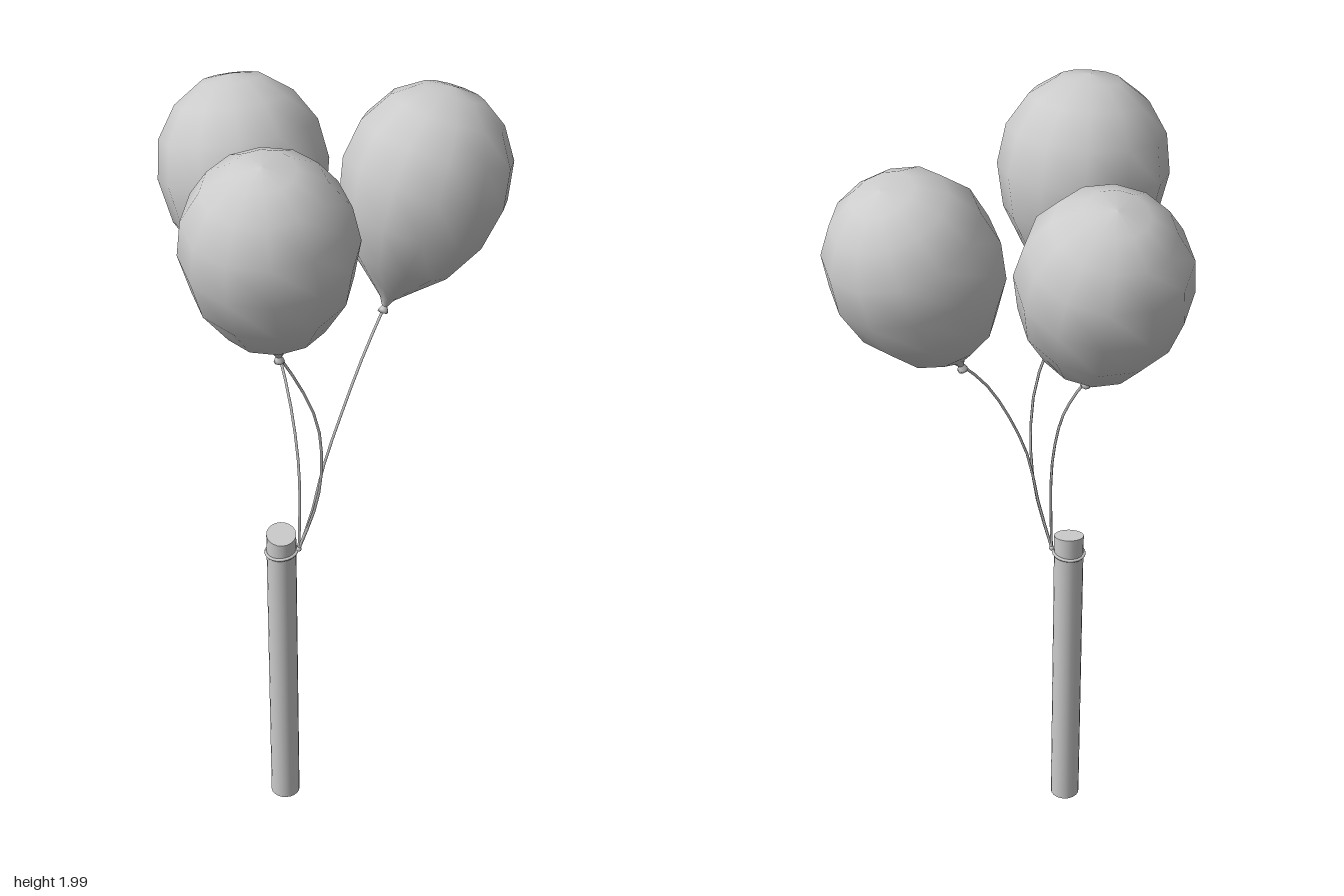
import * as THREE from 'three';

const V = (x, y, z) => new THREE.Vector3(x, y, z);
const grey = new THREE.MeshStandardMaterial({ color: 0xcccccc });
const greyDouble = new THREE.MeshStandardMaterial({ color: 0xcccccc, side: THREE.DoubleSide });

function addMesh(parent, name, geometry, material = grey) {
  const mesh = new THREE.Mesh(geometry, material);
  mesh.name = name;
  parent.add(mesh);
  return mesh;
}

// Radius and height along the balloon's axis, measured from the neck
const skinProfile = [
  [0.007, 0], [0.018, 0.02], [0.055, 0.055], [0.125, 0.12], [0.182, 0.22],
  [0.203, 0.325], [0.188, 0.42], [0.14, 0.495], [0.075, 0.54], [0, 0.552],
].map(p => new THREE.Vector2(...p));

// Flared knot under the neck
const knotProfile = [[0, -0.014], [0.013, -0.016], [0.011, -0.009], [0.005, 0.003]]
  .map(p => new THREE.Vector2(...p));

function makeBalloon(name, neck, centre) {
  const balloon = new THREE.Group();
  balloon.name = name;
  addMesh(balloon, 'balloonSkin', new THREE.LatheGeometry(skinProfile, 12).rotateY(Math.PI / 2));
  addMesh(balloon, 'balloonKnot', new THREE.LatheGeometry(knotProfile, 8), greyDouble);
  balloon.position.copy(neck);
  balloon.quaternion.setFromUnitVectors(V(0, 1, 0), centre.clone().sub(neck).normalize());
  return balloon;
}

// Thin string running through a few points in straight pieces
function makeString(points) {
  const path = new THREE.CurvePath();
  for (let i = 1; i < points.length; i++) path.add(new THREE.LineCurve3(points[i - 1], points[i]));
  const smooth = new THREE.CatmullRomCurve3(points);
  return new THREE.TubeGeometry(smooth, (points.length - 1) * 2, 0.0035, 5);
}

export function createModel() {
  const model = new THREE.Group();
  model.name = 'balloonsOnPost';
  const postX = -0.155, postZ = 0.037, postR = 0.037;

  // Post with a top that slopes down towards the front
  const postGeo = new THREE.CylinderGeometry(postR, postR, 0.843, 20).translate(0, 0.4215, 0);
  const pos = postGeo.attributes.position;
  for (let i = 0; i < pos.count; i++) {
    if (pos.getY(i) > 0.5) pos.setY(i, 0.843 - pos.getZ(i) * 0.25);
  }
  const post = addMesh(model, 'post', postGeo);
  post.position.set(postX, 0, postZ);

  // String loop tied around the post, with a small knot
  const loop = addMesh(model, 'stringLoop',
    new THREE.TorusGeometry(postR + 0.002, 0.004, 6, 20).rotateX(Math.PI / 2));
  loop.position.set(postX, 0.792, postZ);
  loop.rotation.z = 0.08;
  const tie = V(-0.112, 0.8, 0.043);
  addMesh(model, 'stringKnot', new THREE.SphereGeometry(0.007, 8, 6)).position.copy(tie);

  // Balloons: neck, centre, and the string's points from the tie upwards
  const balloons = [
    ['front', V(-0.158, 1.45, 0.17), V(-0.178, 1.78, 0.23),
      [[-0.073, 0.94, 0.068], [-0.058, 1.06, 0.092], [-0.067, 1.22, 0.123], [-0.105, 1.34, 0.147]]],
    ['backRight', V(-0.186, 1.41, -0.137), V(-0.22, 1.73, -0.23),
      [[-0.109, 0.92, 0.045], [-0.11, 1.05, 0.035], [-0.128, 1.21, -0.015], [-0.157, 1.33, -0.085]]],
    ['backLeft', V(0.105, 1.418, -0.085), V(0.208, 1.735, -0.154),
      [[-0.078, 0.93, 0.057], [-0.052, 1.06, 0.063], [0, 1.21, 0.03], [0.053, 1.33, -0.022]]],
  ];
  for (const [side, neck, centre, bends] of balloons) {
    model.add(makeBalloon(side + 'Balloon', neck, centre));
    addMesh(model, side + 'String', makeString([tie, ...bends.map(p => V(...p)), neck]));
  }
  return model;
}
